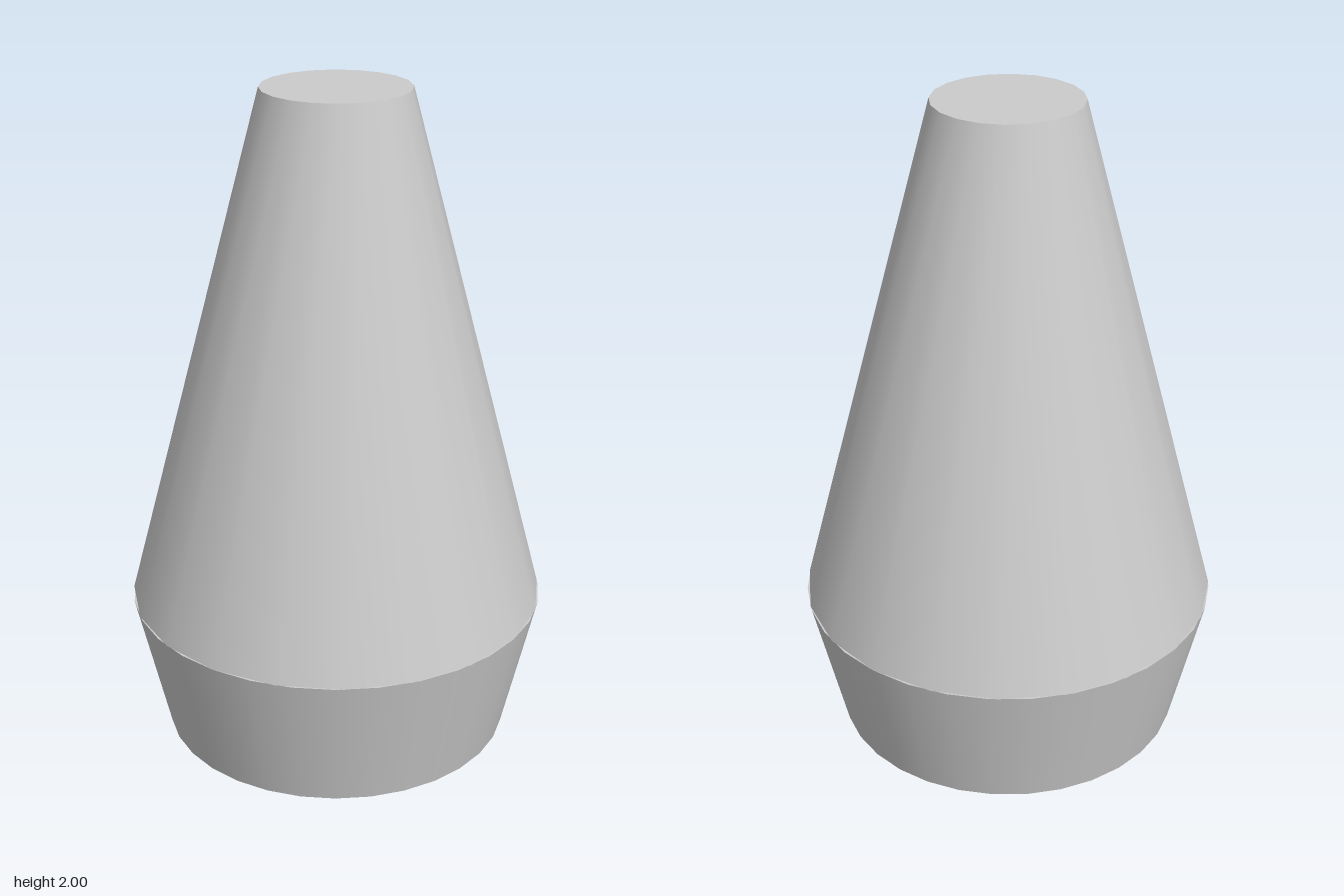
import * as THREE from 'three';

// Closed tapered section standing between heights y0 and y1
function taper(name, rBottom, rTop, y0, y1, sides, material) {
  const mesh = new THREE.Mesh(
    new THREE.CylinderGeometry(rTop, rBottom, y1 - y0, sides),
    material
  );
  mesh.name = name;
  mesh.position.y = (y0 + y1) / 2;
  return mesh;
}

export function createModel() {
  const group = new THREE.Group();
  group.name = 'taperedBody';
  const grey = new THREE.MeshStandardMaterial({ color: 0xcccccc });
  const seam = 0.435;

  // Short base flaring out to the seam, then the long cone narrowing to a flat top
  group.add(taper('base', 0.53, 0.63, 0, seam, 32, grey));
  group.add(taper('upperCone', 0.63, 0.218, seam, 2, 20, grey));
  return group;
}
